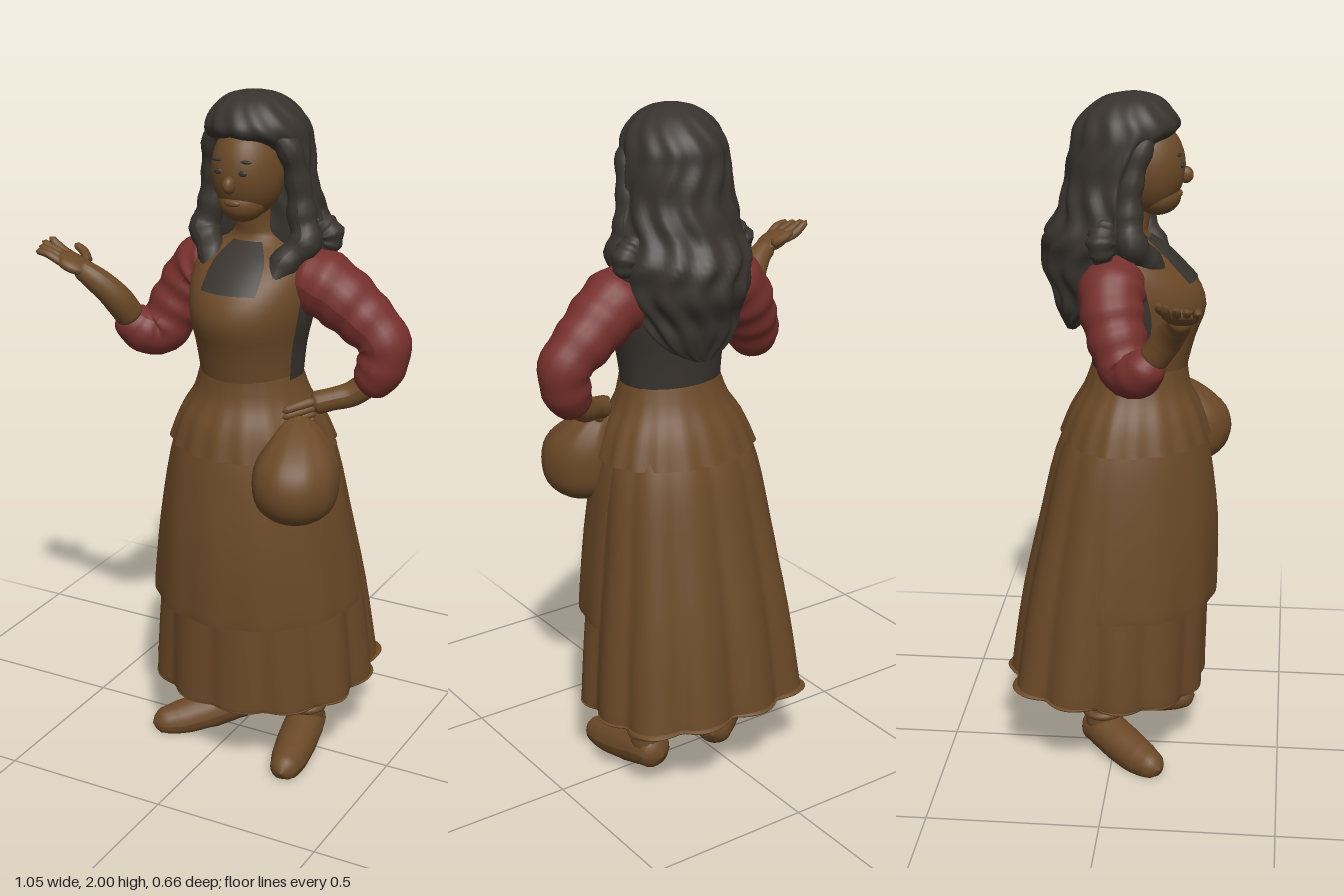
import * as THREE from 'three';

const mat = (name, color) => {
  const m = new THREE.MeshStandardMaterial({ color, side: THREE.DoubleSide });
  m.name = name;
  return m;
};

// Surface through rings [y, cx, cz, halfWidth, frontDepth, backDepth], listed bottom to top.
// Angle 0 is the front, growing towards +x; wave(angle, t, y) scales the radius
// and slant raises the back of the lower rings.
function loft(rings, { steps = 3, seg = 96, from = 0, arc = Math.PI * 2, wave = () => 1, slant = 0 } = {}) {
  const closed = arc > 6.28, cols = closed ? seg : seg + 1;
  const rows = (rings.length - 1) * steps + 1;
  const pos = [], idx = [];
  for (let i = 0; i < rows; i++) {
    const k = Math.min(Math.floor(i / steps), rings.length - 2), f = i / steps - k;
    const at = (n) => rings[Math.max(0, Math.min(rings.length - 1, n))];
    const [y, cx, cz, rx, rf, rb] = rings[0].map((_, c) => {
      const p = at(k - 1)[c], a = at(k)[c], b = at(k + 1)[c], q = at(k + 2)[c];
      return a + 0.5 * f * (b - p + f * (2 * p - 5 * a + 4 * b - q + f * (3 * (a - b) + q - p)));
    });
    for (let j = 0; j < cols; j++) {
      const t = i / (rows - 1), a = from + (arc * j) / seg, w = wave(a, t, y), c = Math.cos(a);
      const z = cz + c * (c > 0 ? rf : rb) * w;
      pos.push(cx + Math.sin(a) * rx * w, y - slant * z * (1 - t), z);
    }
  }
  for (let i = 0; i < rows - 1; i++) for (let j = 0; j < seg; j++) {
    const a = i * cols + j, b = i * cols + ((j + 1) % cols);
    idx.push(a, b, a + cols, b, b + cols, a + cols);
  }
  const g = new THREE.BufferGeometry();
  g.setAttribute('position', new THREE.Float32BufferAttribute(pos, 3));
  g.setIndex(idx);
  g.computeVertexNormals();
  return g;
}

// Tapered tube along points, with rounded ends.
function limb(points, radii, fold = 0, rows = 30, sides = 16) {
  const path = new THREE.CatmullRomCurve3(points.map((p) => new THREE.Vector3(...p)));
  const g = new THREE.TubeGeometry(path, rows, 1, sides), p = g.attributes.position;
  const v = new THREE.Vector3();
  for (let i = 0; i <= rows; i++) {
    const t = i / rows, u = t * (radii.length - 1), k = Math.min(Math.floor(u), radii.length - 2);
    const end = Math.min(1, Math.sqrt(Math.min(t, 1 - t) * 12) + 0.01);
    const r = THREE.MathUtils.lerp(radii[k], radii[k + 1], u - k) * end * (1 + fold * Math.sin(t * 40));
    const c = path.getPointAt(t);
    for (let j = 0; j <= sides; j++) {
      const n = i * (sides + 1) + j;
      v.fromBufferAttribute(p, n).sub(c).multiplyScalar(r).add(c);
      p.setXYZ(n, v.x, v.y, v.z);
    }
  }
  g.computeVertexNormals();
  return g;
}

export function createModel() {
  const model = new THREE.Group();
  const brown = mat('warm brown', 0x6b4927);
  const dark = mat('dark hair', 0x38332e);
  const red = mat('sleeve red', 0x76302c);

  const add = (name, geometry, material, parent = model) => {
    const m = new THREE.Mesh(geometry, material);
    m.name = name;
    parent.add(m);
    return m;
  };
  const ball = (name, material, [x, y, z], [sx, sy, sz]) => {
    const m = add(name, new THREE.SphereGeometry(1, 32, 20), material);
    m.position.set(x, y, z);
    m.scale.set(sx, sy, sz);
    return m;
  };

  // Skirt with twelve deep folds, squarer at the back, closed underneath
  const folds = (a) => (0.06 - 0.02 * Math.cos(a)) * (Math.abs(Math.sin(6 * a + 0.4)) * 2 - 1.4);
  const squareBack = (a) => (Math.cos(a) < 0 ? (0.18 + 0.03 * Math.sin(a)) * Math.sin(2 * a) ** 2 : 0);
  add('skirt', loft([
    [0.25, 0.065, -0.02, 0.01, 0.01, 0.01],
    [0.24, 0.065, -0.02, 0.3, 0.26, 0.275],
    [0.228, 0.065, -0.02, 0.32, 0.284, 0.288],
    [0.27, 0.065, -0.02, 0.324, 0.287, 0.288],
    [0.5, 0.065, -0.015, 0.302, 0.287, 0.262],
    [0.75, 0.065, -0.005, 0.267, 0.279, 0.22],
    [0.95, 0.065, 0.01, 0.237, 0.252, 0.19],
    [1.08, 0.065, 0.025, 0.195, 0.205, 0.15],
    [1.18, 0.068, 0.04, 0.145, 0.15, 0.115],
  ], { seg: 144, slant: 0.07, wave: (a, t) => 1 + (1 - t) * (folds(a) + squareBack(a)) }), brown);

  // Apron wrapping the front and sides
  add('apron', loft([
    [0.51, 0.065, -0.01, 0.312, 0.306, 0.275],
    [0.56, 0.065, -0.01, 0.309, 0.309, 0.27],
    [0.75, 0.065, 0, 0.283, 0.298, 0.235],
    [0.95, 0.065, 0.01, 0.248, 0.263, 0.2],
    [1.08, 0.065, 0.025, 0.205, 0.215, 0.16],
  ], { from: -1.65, arc: 3.3, slant: 0.04, wave: (a, t) => 1 + 0.012 * (1 - t) * Math.cos(12 * a) }), brown);

  // Short gathered frill below the waist
  add('waistFrill', loft([
    [1.0, 0.065, 0.02, 0.243, 0.25, 0.188],
    [1.08, 0.065, 0.028, 0.212, 0.22, 0.165],
    [1.15, 0.067, 0.038, 0.17, 0.175, 0.135],
    [1.22, 0.068, 0.045, 0.147, 0.157, 0.118],
  ], { wave: (a, t) => 1 + 0.018 * (1 - t) * Math.cos(18 * a) }), brown);

  // Bodice, shoulders and neck
  const torso = [
    [1.14, 0.068, 0.04, 0.155, 0.15, 0.12],
    [1.2, 0.068, 0.045, 0.145, 0.155, 0.115],
    [1.3, 0.068, 0.045, 0.155, 0.18, 0.12],
    [1.39, 0.07, 0.04, 0.172, 0.214, 0.125],
    [1.47, 0.07, 0.03, 0.178, 0.195, 0.125],
    [1.54, 0.07, 0.015, 0.165, 0.14, 0.115],
    [1.59, 0.07, 0.01, 0.09, 0.08, 0.08],
    [1.63, 0.07, 0.03, 0.056, 0.058, 0.06],
    [1.72, 0.07, 0.05, 0.055, 0.055, 0.06],
  ];
  add('bodice', loft(torso), brown);
  // Dark back and sides of the bodice, and dark neckline
  const overlay = (rings) => rings.map(([y, x, z, ...r]) => [y, x, z, ...r.map((v) => v + 0.004)]);
  add('bodiceBack', loft(overlay(torso.slice(1, 5)), { from: 1.25, arc: 2 * Math.PI - 2.5, seg: 48 }), dark);
  add('neckline', loft(overlay(torso.slice(4, 7)), { from: -0.45, arc: 0.95, seg: 16 }), dark);

  // Head and face
  ball('head', brown, [0.07, 1.79, 0.075], [0.1, 0.135, 0.115]);
  ball('jaw', brown, [0.07, 1.705, 0.11], [0.065, 0.055, 0.068]);
  ball('nose', brown, [0.07, 1.765, 0.19], [0.017, 0.024, 0.022]);
  ball('lips', brown, [0.07, 1.712, 0.172], [0.024, 0.01, 0.01]);
  for (const s of [-1, 1]) {
    ball('eye', dark, [0.07 + s * 0.036, 1.798, 0.182], [0.013, 0.008, 0.005]);
    ball('eyebrow', dark, [0.07 + s * 0.038, 1.828, 0.174], [0.022, 0.005, 0.006]);
  }

  // Long wavy hair, set back around the face
  add('hair', loft([
    [1.31, 0.08, -0.13, 0.03, 0.01, 0.02],
    [1.35, 0.08, -0.11, 0.1, 0.03, 0.055],
    [1.42, 0.08, -0.06, 0.145, 0.04, 0.125],
    [1.52, 0.08, -0.03, 0.185, 0.06, 0.185],
    [1.59, 0.08, -0.01, 0.195, 0.06, 0.2],
    [1.68, 0.072, 0, 0.172, 0.055, 0.165],
    [1.78, 0.07, 0.015, 0.155, 0.055, 0.16],
    [1.85, 0.07, 0.025, 0.152, 0.085, 0.16],
    [1.895, 0.07, 0.03, 0.143, 0.138, 0.155],
    [1.94, 0.068, 0.035, 0.122, 0.122, 0.13],
    [1.98, 0.066, 0.04, 0.075, 0.075, 0.08],
    [1.998, 0.066, 0.045, 0.003, 0.003, 0.003],
  ], {
    steps: 5,
    wave: (a, t, y) => 1 + 0.055 * (1 - t * 0.8) * Math.cos(13 * a + 2 * Math.sin(y * 26))
      + 0.03 * (1 - t) * Math.sin(y * 60),
  }), dark);
  for (const s of [-1, 1]) {
    const x = (d) => 0.075 + s * d;
    add('sideLock', limb([[x(0.05), 1.92, 0.11], [x(0.11), 1.86, 0.075], [x(0.13), 1.75, 0.045], [x(0.14), 1.66, 0.04],
      [x(0.155), 1.6, 0.05], [x(0.11), 1.54, 0.095], [x(0.095), 1.47, 0.16]],
    [0.02, 0.034, 0.034, 0.04, 0.045, 0.038, 0.014], 0.08), dark);
    add('shoulderCurl', limb([[x(0.13), 1.66, -0.02], [x(0.19), 1.6, -0.03], [x(0.17), 1.53, -0.02]],
      [0.03, 0.042, 0.018], 0.08), dark);
  }

  // Puffed sleeves
  add('rightSleeve', limb([[-0.03, 1.51, 0.02], [-0.12, 1.46, 0], [-0.185, 1.36, 0.02], [-0.235, 1.275, 0.06],
    [-0.28, 1.3, 0.1], [-0.305, 1.35, 0.13]], [0.08, 0.094, 0.086, 0.078, 0.068, 0.052], 0.04, 40, 20), red);
  add('leftSleeve', limb([[0.18, 1.51, 0.03], [0.28, 1.47, 0.015], [0.375, 1.4, 0], [0.45, 1.325, -0.002],
    [0.44, 1.25, 0.005], [0.39, 1.18, 0.02]], [0.08, 0.096, 0.088, 0.076, 0.07, 0.052], 0.03, 40, 20), red);

  // Raised right forearm with open hand
  add('rightForearm', limb([[-0.28, 1.32, 0.12], [-0.31, 1.4, 0.17], [-0.36, 1.455, 0.2], [-0.41, 1.485, 0.21]],
    [0.042, 0.043, 0.038, 0.028]), brown);
  const rightPalm = ball('rightPalm', brown, [-0.42, 1.492, 0.212], [0.055, 0.022, 0.047]);
  rightPalm.rotation.z = -0.4;
  for (let i = 0; i < 4; i++) {
    const z = 0.18 + i * 0.022, r = 0.0135 - i * 0.0005;
    add('rightFinger', limb([[-0.43, 1.497, z], [-0.475, 1.513 + i * 0.003, z + (i - 1) * 0.005],
      [-0.528 + Math.abs(i - 1) * 0.008, 1.547 - i * 0.007, z + (i - 1) * 0.006]], [r, r, r * 0.75], 0, 10, 8), brown);
  }
  add('rightThumb', limb([[-0.39, 1.49, 0.18], [-0.415, 1.51, 0.157], [-0.45, 1.53, 0.152]],
    [0.016, 0.014, 0.009], 0, 10, 8), brown);

  // Left forearm and hand resting on the hip
  add('leftForearm', limb([[0.42, 1.215, 0.01], [0.37, 1.175, 0.03], [0.32, 1.16, 0.06], [0.27, 1.145, 0.085]],
    [0.038, 0.036, 0.032, 0.034]), brown);
  for (let i = 0; i < 4; i++) {
    add('leftFinger', limb([[0.29, 1.16 - i * 0.016, 0.09], [0.255, 1.15 - i * 0.018, 0.125],
      [0.215, 1.135 - i * 0.018, 0.155]], [0.014, 0.013, 0.009], 0, 10, 8), brown);
  }

  // Round pouch at the left hip, with a gathered top
  add('pouch', loft([
    [0.835, 0.28, 0.195, 0.005, 0.005, 0.005],
    [0.85, 0.28, 0.195, 0.065, 0.068, 0.065],
    [0.89, 0.28, 0.195, 0.108, 0.115, 0.115],
    [0.95, 0.28, 0.195, 0.12, 0.132, 0.13],
    [1.01, 0.278, 0.185, 0.113, 0.125, 0.12],
    [1.06, 0.273, 0.165, 0.085, 0.095, 0.09],
    [1.1, 0.262, 0.14, 0.05, 0.055, 0.05],
    [1.13, 0.25, 0.12, 0.004, 0.004, 0.004],
  ], { seg: 48, wave: (a, t) => 1 + 0.04 * t * t * Math.cos(9 * a) }), brown);

  // Legs, boot cuffs and shoes
  for (const [side, x, z, turn] of [['right', -0.035, -0.035, -0.78], ['left', 0.215, -0.03, 0.17]]) {
    const leg = new THREE.Group();
    leg.name = side + 'Leg';
    leg.position.set(x, 0, z);
    leg.rotation.y = turn;
    model.add(leg);
    add('stocking', limb([[0, 0.05, 0], [0, 0.13, 0], [0, 0.24, 0], [0, 0.4, 0]], [0.054, 0.054, 0.064, 0.068]), brown, leg);
    const cuff = add('shoeCuff', new THREE.TorusGeometry(0.051, 0.013, 10, 28), brown, leg);
    cuff.position.y = 0.125;
    cuff.rotation.x = Math.PI / 2;
    const foot = limb([[0, 0.055, -0.068], [0, 0.062, 0], [0, 0.045, 0.09], [0, 0.03, 0.175], [0, 0.028, 0.265]],
      [0.05, 0.06, 0.06, 0.054, 0.034], 0, 32, 20);
    const p = foot.attributes.position;
    for (let i = 0; i < p.count; i++) p.setY(i, Math.max(0, p.getY(i)));
    foot.computeVertexNormals();
    add('shoe', foot, brown, leg);
  }
  return model;
}
